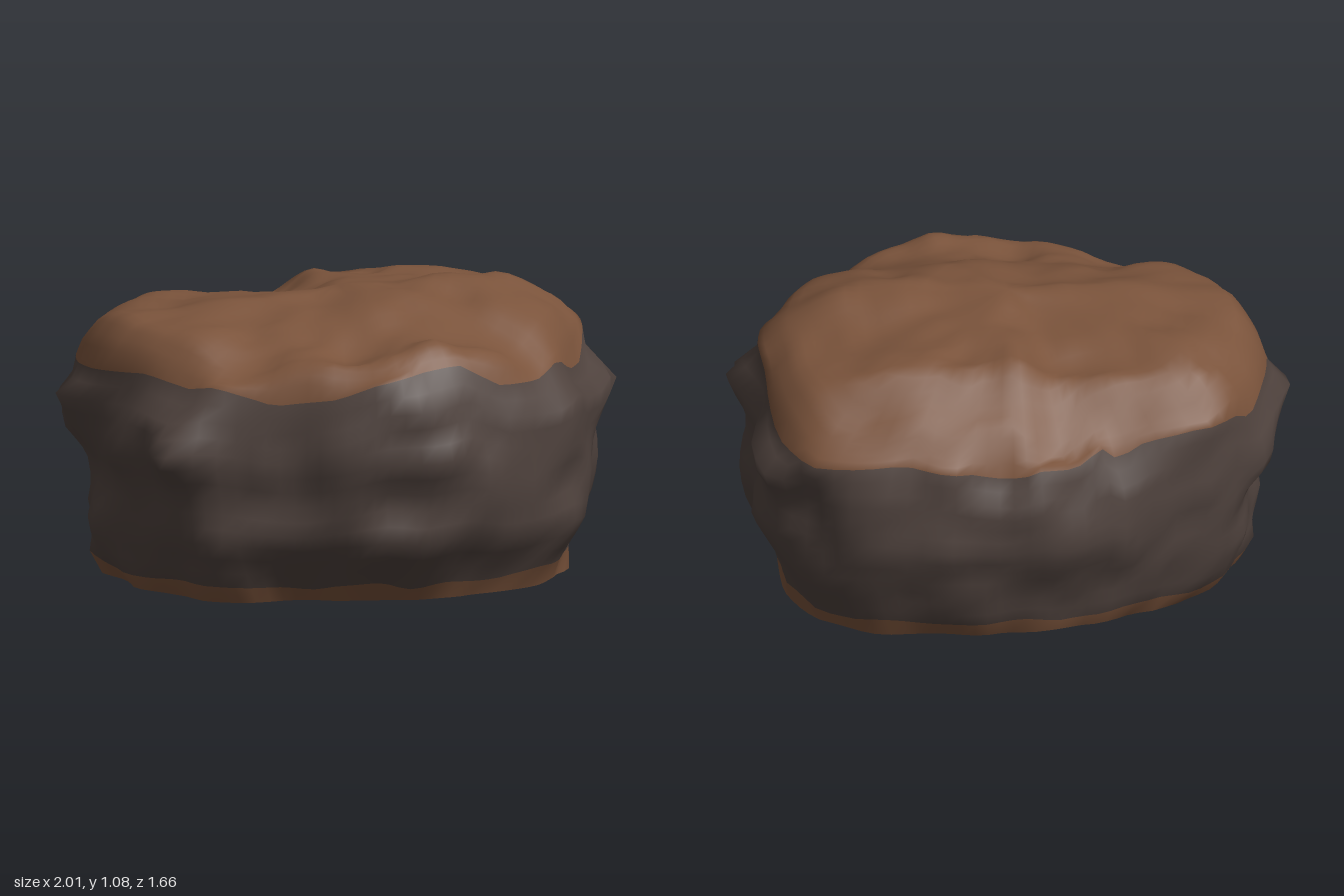
import * as THREE from 'three';

const SEG = 96;
const SIDE_ROWS = 13; // rows between the lower rim and the colour border
const CAP_ROWS = 18; // rows from the border to the crest
const { smoothstep } = THREE.MathUtils;

// Widest plan outline of the rock, x/z pairs, starting at +x and turning toward +z
const OUTLINE = [
  0.95, 0, 0.99, 0.1, 0.91, 0.23, 0.88, 0.37, 0.83, 0.48, 0.74, 0.57, 0.65, 0.68, 0.5, 0.73,
  0.33, 0.8, 0.17, 0.83, 0, 0.82, -0.13, 0.81, -0.23, 0.74, -0.37, 0.7, -0.55, 0.62, -0.77, 0.59,
  -0.8, 0.36, -0.96, 0.27, -0.9, 0.1, -1, -0.07, -0.95, -0.3, -0.86, -0.5, -0.7, -0.65, -0.5, -0.65,
  -0.43, -0.74, -0.2, -0.76, -0.1, -0.83, 0.02, -0.83, 0.14, -0.78, 0.27, -0.82, 0.38, -0.78,
  0.6, -0.76, 0.77, -0.69, 0.93, -0.52, 0.96, -0.38, 0.92, -0.3, 0.97, -0.2,
];
// Plan outline of the earth cap where it meets the stone
const BRIM = [
  0.9, 0, 0.87, 0.15, 0.8, 0.3, 0.7, 0.45, 0.6, 0.55, 0.45, 0.65, 0.3, 0.68, 0.15, 0.7, 0, 0.77,
  -0.12, 0.74, -0.3, 0.66, -0.45, 0.6, -0.6, 0.53, -0.68, 0.42, -0.8, 0.25, -0.9, 0.05, -0.93, -0.12,
  -0.88, -0.35, -0.8, -0.5, -0.68, -0.6, -0.45, -0.63, -0.3, -0.66, -0.15, -0.74, 0, -0.76, 0.06, -0.73,
  0.2, -0.74, 0.28, -0.77, 0.42, -0.72, 0.6, -0.72, 0.78, -0.66, 0.88, -0.45, 0.89, -0.2,
];
// Height of the colour border at angles in degrees
const BORDER = [
  [0, 0.88], [8, 0.87], [14, 0.77], [24, 0.77], [32, 0.83], [42, 0.78], [56, 0.79], [68, 0.88],
  [80, 0.86], [92, 0.84], [104, 0.78], [122, 0.75], [138, 0.81], [146, 0.79], [160, 0.82], [180, 0.79],
  [200, 0.78], [208, 0.72], [213, 0.77], [225, 0.77], [236, 0.74], [243, 0.69], [248, 0.75], [256, 0.7],
  [266, 0.71], [275, 0.67], [288, 0.71], [304, 0.74], [318, 0.72], [330, 0.74], [342, 0.84], [354, 0.89],
  [360, 0.88],
];
// Crest height from back to front
const CREST = [
  [-0.8, 0.71], [-0.7, 0.8], [-0.64, 0.85], [-0.58, 0.9], [-0.49, 1.01], [-0.2, 1.04], [0.05, 1.07],
  [0.28, 1.02], [0.42, 0.95], [0.52, 0.92], [0.66, 0.93], [0.74, 0.88], [0.82, 0.82],
];
// Share of the outline at each height, on the +x, +z, -x and -z sides
const LEVELS = [0, 0.07, 0.24, 0.39, 0.54, 0.69, 0.78, 0.92];
const PROFILES = [
  [0.85, 0.86, 0.94, 0.97, 0.95, 0.98, 0.93, 0.91],
  [0.66, 0.73, 0.92, 0.92, 0.97, 0.94, 0.96, 0.92],
  [0.82, 0.88, 0.92, 0.9, 0.95, 0.97, 0.92, 0.9],
  [0.8, 0.85, 0.93, 0.99, 0.99, 0.98, 0.95, 0.93],
].map((row) => row.map((v, i) => [LEVELS[i], v]));
// Protruding knobs: angle, height, amount
const KNOBS = [
  [6, 0.69, 0.06], [184, 0.7, 0.06], [78, 0.52, 0.05], [82, 0.78, 0.05], [271, 0.6, 0.04],
  [287, 0.4, 0.04], [164, 0.53, 0.07], [143, 0.56, 0.13], [338, 0.38, 0.05], [331, 0.66, 0.05],
  [205, 0.5, 0.04],
];

function sample(table, x) {
  if (x <= table[0][0]) return table[0][1];
  for (let i = 1; i < table.length; i++) {
    const [x0, y0] = table[i - 1], [x1, y1] = table[i];
    if (x <= x1) return y0 + (y1 - y0) * (x - x0) / (x1 - x0);
  }
  return table[table.length - 1][1];
}

// Seeded lattice noise, -1..1
function hash(x, y, z) {
  let h = Math.imul(x, 374761393) ^ Math.imul(y, 668265263) ^ Math.imul(z, 1274126177);
  h = Math.imul(h ^ (h >>> 13), 1103515245);
  return ((h ^ (h >>> 16)) >>> 0) / 2147483648 - 1;
}
function noise(x, y, z) {
  const f = [x, y, z].map(Math.floor);
  const [u, v, w] = [x - f[0], y - f[1], z - f[2]].map((t) => t * t * (3 - 2 * t));
  let sum = 0;
  for (let c = 0; c < 8; c++) {
    const a = c & 1, b = (c >> 1) & 1, d = c >> 2;
    sum += hash(f[0] + a, f[1] + b, f[2] + d) * (a ? u : 1 - u) * (b ? v : 1 - v) * (d ? w : 1 - w);
  }
  return sum;
}
const rough = (x, y, z) => noise(x * 5, y * 5, z * 5) * 0.7 + noise(x * 10 + 7, y * 10, z * 10) * 0.3;

// Angle/radius table from a plan outline
function polar(outline) {
  const table = [];
  for (let i = 0; i < outline.length; i += 2) {
    const a = (Math.atan2(outline[i + 1], outline[i]) * 180 / Math.PI + 360) % 360;
    table.push([a, Math.hypot(outline[i], outline[i + 1])]);
  }
  return [...table, [360, table[0][1]]];
}
const outlineTable = polar(OUTLINE), brimTable = polar(BRIM);

// Outline radius averaged over neighbouring angles
function softRadius(deg) {
  let sum = 0;
  for (let d = -8; d <= 8; d += 4) sum += sample(outlineTable, (deg + d + 360) % 360);
  return sum / 5;
}

// Height of the upper surface: a ridge with a lower left half and sloping front corners
function crestHeight(x, z) {
  const left = smoothstep(-x, -0.08, 0.15);
  const backDip = 0.03 * left * smoothstep(-z, 0.25, 0.45);
  const rightCorner = 0.1 * smoothstep(x, 0.35, 0.75) * smoothstep(z, 0.34, 0.56);
  const leftCorner = 0.04 * smoothstep(-x, 0.3, 0.6) * smoothstep(z, 0.3, 0.5);
  const fall = (x > 0 ? 0.2 : 0.13) * x ** 4;
  return sample(CREST, z) - 0.045 * left - backDip - rightCorner - leftCorner - fall
    + 0.045 * rough(x + 3, 0.5, z);
}

// One vertical strip of points, base to crest
function strip(j) {
  const deg = j * 360 / SEG, a = deg * Math.PI / 180;
  const c = Math.cos(a), s = Math.sin(a);
  const radius = softRadius(deg), brim = sample(brimTable, deg), border = sample(BORDER, deg);
  const alongX = PROFILES[c > 0 ? 0 : 2], alongZ = PROFILES[s > 0 ? 1 : 3];
  const points = [];
  const side = (y) => {
    let k = sample(alongX, y) * c * c + sample(alongZ, y) * s * s;
    k *= 1 + 0.05 * rough(c * radius, y, s * radius);
    for (const [angle, height, amount] of KNOBS) {
      const d = (deg - angle + 540) % 360 - 180;
      k += amount * Math.exp(-((d / 7) ** 2) - ((y - height) / 0.08) ** 2);
    }
    const blend = smoothstep(y, border - 0.13, border);
    const r = radius * k * (1 - blend) + brim * blend;
    points.push([c * r, y, s * r]);
  };
  const rim = 0.065 + 0.02 * noise(c * 5, 3, s * 5);
  side(0);
  for (let i = 0; i <= SIDE_ROWS; i++) side(rim + (border - rim) * i / SIDE_ROWS);
  for (let i = 1; i <= CAP_ROWS; i++) {
    const t = i / CAP_ROWS, q = 1 - 0.4 * t - 0.6 * t * t;
    const x = c * brim * q, z = s * brim * q;
    const rise = Math.min(1, (1 - q) / 0.1);
    points.push([x, border + Math.max(crestHeight(x, z) - border, 0.02) * Math.sqrt(rise), z]);
  }
  return points;
}

export function createModel() {
  const brown = new THREE.MeshStandardMaterial({ color: 0x7a533b });
  brown.name = 'brown earth';
  const dark = new THREE.MeshStandardMaterial({ color: 0x50433e });
  dark.name = 'dark stone';

  const strips = Array.from({ length: SEG }, (_, j) => strip(j));
  const rows = strips[0].length, tip = (rows - 1) * SEG;
  const pos = [], index = [];
  for (let i = 0; i < rows - 1; i++) for (const p of strips) pos.push(...p[i]);
  pos.push(...strips[0][rows - 1]);
  for (let i = 0; i < rows - 1; i++) {
    for (let j = 0; j < SEG; j++) {
      const n = (j + 1) % SEG;
      const a = i * SEG + j, b = a + SEG, e = i * SEG + n, d = e + SEG;
      if (i < rows - 2) index.push(a, b, e, e, b, d);
      else index.push(a, tip, e);
    }
  }
  const shell = new THREE.BufferGeometry();
  shell.setAttribute('position', new THREE.Float32BufferAttribute(pos, 3));
  shell.setIndex(index);
  shell.computeVertexNormals();

  // Lower rim, stone sides, earth cap
  const perRow = SEG * 6, capStart = perRow * (SIDE_ROWS + 1);
  shell.addGroup(0, perRow, 0);
  shell.addGroup(perRow, perRow * SIDE_ROWS, 1);
  shell.addGroup(capStart, index.length - capStart, 0);
  const rock = new THREE.Mesh(shell, [brown, dark]);
  rock.name = 'rock';

  // Flat underside closing the first row
  const basePos = [0, 0, 0], baseIndex = [];
  strips.forEach((p, j) => {
    basePos.push(...p[0]);
    baseIndex.push(0, j + 1, ((j + 1) % SEG) + 1);
  });
  const baseGeo = new THREE.BufferGeometry();
  baseGeo.setAttribute('position', new THREE.Float32BufferAttribute(basePos, 3));
  baseGeo.setIndex(baseIndex);
  baseGeo.computeVertexNormals();
  const underside = new THREE.Mesh(baseGeo, brown);
  underside.name = 'underside';

  const group = new THREE.Group();
  group.name = 'boulder';
  group.add(rock, underside);
  return group;
}
